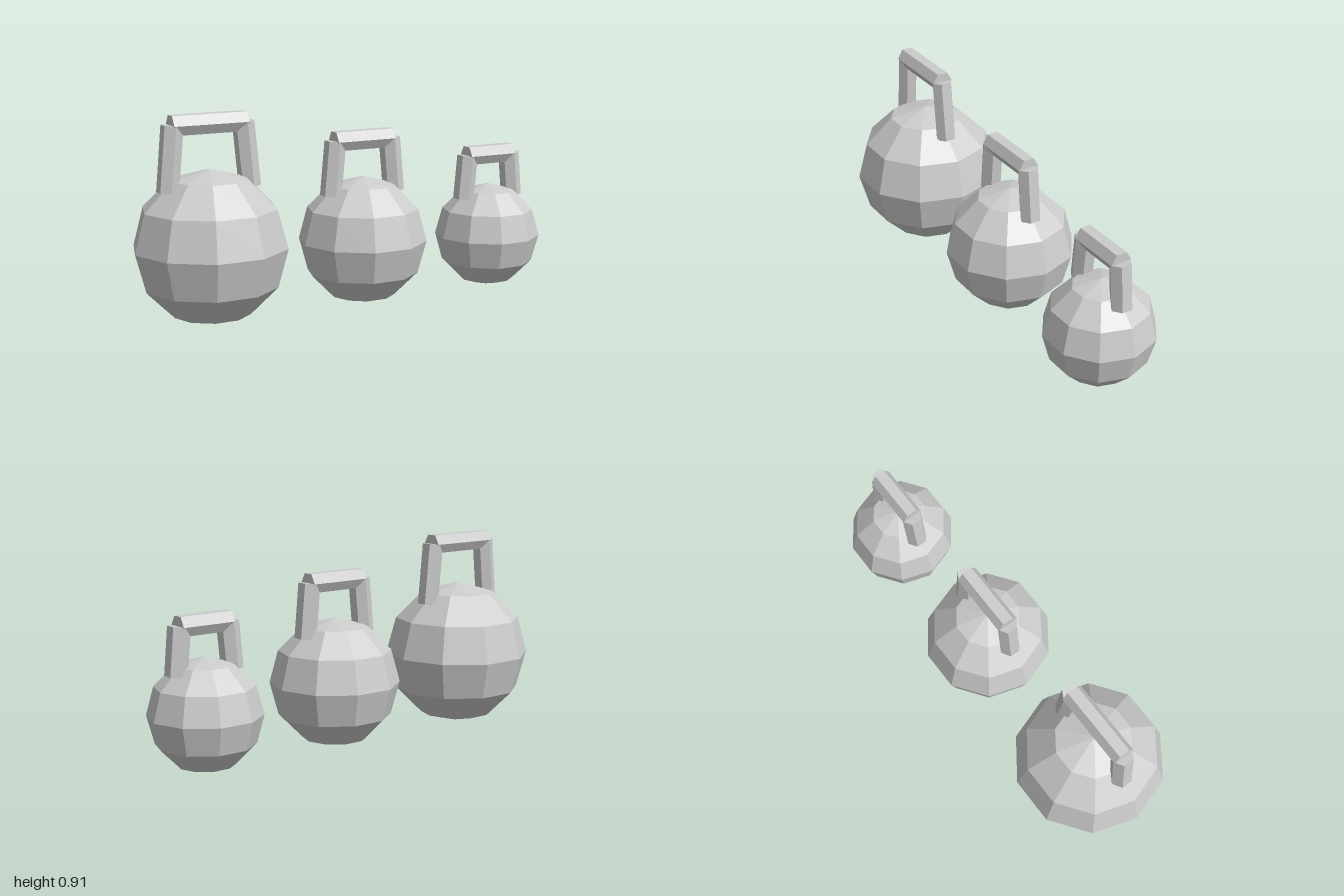
import * as THREE from 'three';

const iron = new THREE.MeshStandardMaterial({ color: 0xcccccc, flatShading: true });
iron.name = 'castIron';

// Hexagonal bar between two points in the xy plane
function hexBar(name, x0, y0, x1, y1) {
  const dir = new THREE.Vector3(x1 - x0, y1 - y0, 0);
  const bar = new THREE.Mesh(new THREE.CylinderGeometry(0.048, 0.048, dir.length(), 6), iron);
  bar.name = name;
  bar.position.set((x0 + x1) / 2, (y0 + y1) / 2, 0);
  bar.rotation.z = Math.atan2(dir.y, dir.x) - Math.PI / 2;
  return bar;
}

function kettlebell(name, x, r) {
  const group = new THREE.Group();
  group.name = name;
  group.position.x = x;

  // Faceted ball resting on the floor
  const ball = new THREE.Mesh(new THREE.SphereGeometry(r, 10, 6), iron);
  ball.name = 'ball';
  ball.position.y = r + 0.002;
  group.add(ball);

  // Handle: two splayed posts and a grip across the top
  const top = 2.577 * r;
  for (const s of [-1, 1]) {
    group.add(hexBar(s > 0 ? 'leftPost' : 'rightPost', s * 0.555 * r, 1.745 * r, s * 0.475 * r, top));
  }
  group.add(hexBar('grip', -0.5 * r, top, 0.5 * r, top));
  return group;
}

export function createModel() {
  const model = new THREE.Group();
  model.name = 'kettlebellSet';
  model.add(
    kettlebell('largeKettlebell', -0.664, 0.336),
    kettlebell('mediumKettlebell', 0.075, 0.29),
    kettlebell('smallKettlebell', 0.754, 0.245),
  );
  return model;
}
